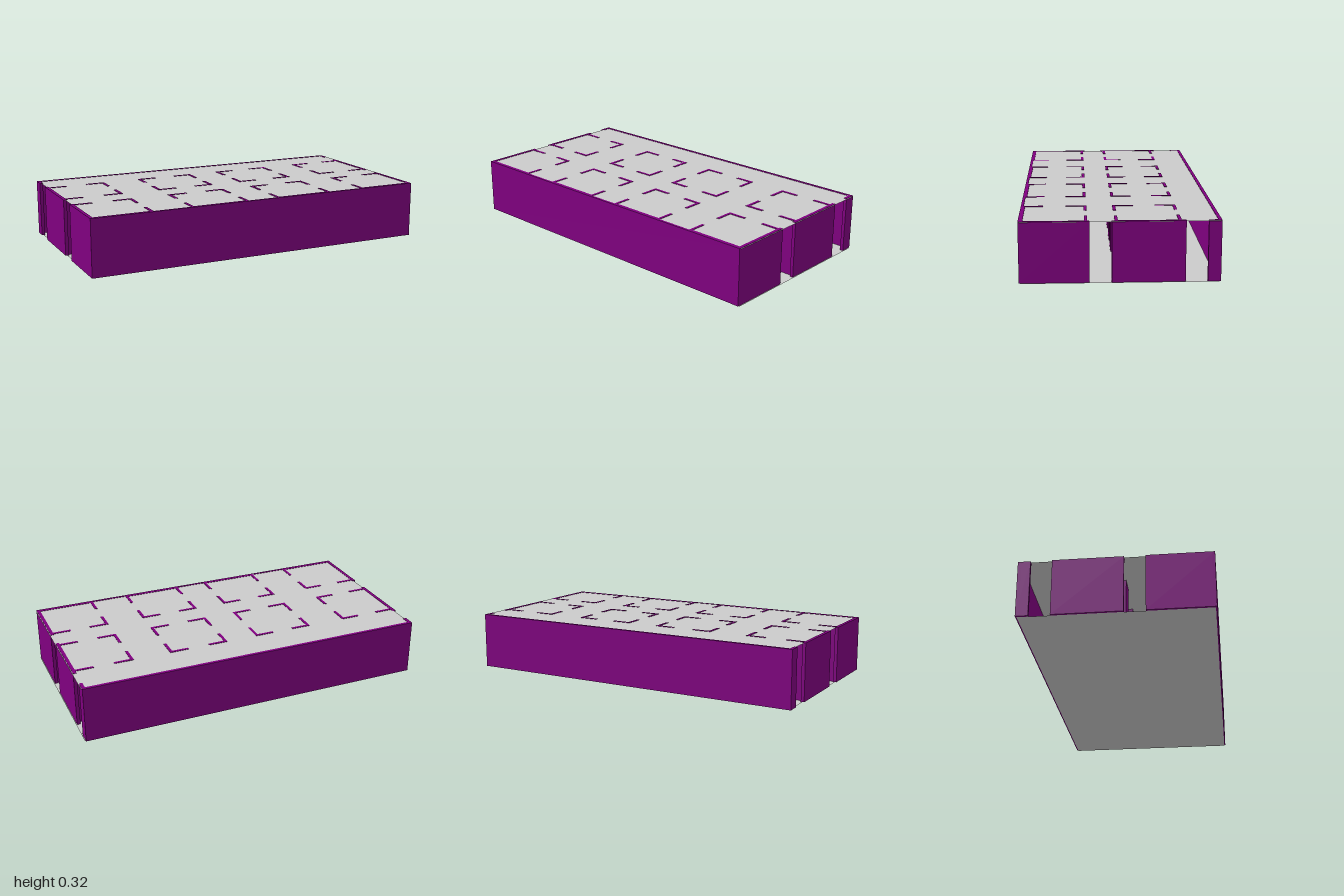
import * as THREE from 'three';

const H = 0.32, T = 0.016;

export function createModel() {
  const model = new THREE.Group();
  model.name = 'floorPlan';
  const purple = new THREE.MeshStandardMaterial({ color: 0x800080 });
  const grey = new THREE.MeshStandardMaterial({ color: 0xcccccc, side: THREE.DoubleSide });

  // Upright wall filling a rectangle of the plan
  function wall(name, x0, x1, z0, z1, parent = model) {
    const y0 = 0.001;
    const mesh = new THREE.Mesh(new THREE.BoxGeometry(x1 - x0, H - y0, z1 - z0), purple);
    mesh.position.set((x0 + x1) / 2, (H + y0) / 2, (z0 + z1) / 2);
    mesh.name = name;
    parent.add(mesh);
  }

  // Thin floor and ceiling sheets; the wall tops just show through the ceiling
  for (const [name, y] of [['floor', 0], ['ceiling', H - 0.002]]) {
    const sheet = new THREE.Mesh(new THREE.PlaneGeometry(1.99, 1.01), grey);
    sheet.rotation.x = name === 'floor' ? Math.PI / 2 : -Math.PI / 2;
    sheet.position.set(0.005, y, 0);
    sheet.name = name;
    model.add(sheet);
  }

  // Outer walls, the sides broken by two corridor openings
  wall('frontWall', -1, 0.995, 0.497, 0.512);
  wall('backWall', -1, 0.995, -0.512, -0.494);
  for (const [z0, z1] of [[-0.512, -0.445], [-0.332, 0.043], [0.155, 0.512]]) {
    wall('rightWall', -1, -0.981, z0, z1);
    wall('leftWall', 0.976, 0.995, z0, z1);
  }

  // Rooms: walls with a doorway in the middle of each open side
  const columns = [[-0.99, -0.647], [-0.43, -0.085], [0.093, 0.437], [0.648, 0.985]];
  const rows = [[-0.309, 0.028], [0.165, 0.505]];
  const arm = 0.111;
  columns.forEach(([x0, x1], c) => rows.forEach(([z0, z1], r) => {
    const room = new THREE.Group();
    room.name = `room${r + 1}${c + 1}`;
    model.add(room);
    const alongX = z => {
      wall('roomWall', x0, x0 + arm, z, z + T, room);
      wall('roomWall', x1 - arm, x1, z, z + T, room);
    };
    const alongZ = x => {
      wall('roomWall', x, x + T, z0, z0 + arm, room);
      wall('roomWall', x, x + T, z1 - arm, z1, room);
    };
    alongX(z0);
    if (r === 0) alongX(z1 - T);
    else wall('roomFrontWall', x0, x1, z1 - T, z1, room);
    if (c > 0) alongZ(x0);
    if (c < 3) alongZ(x1 - T);
  }));

  return model;
}
